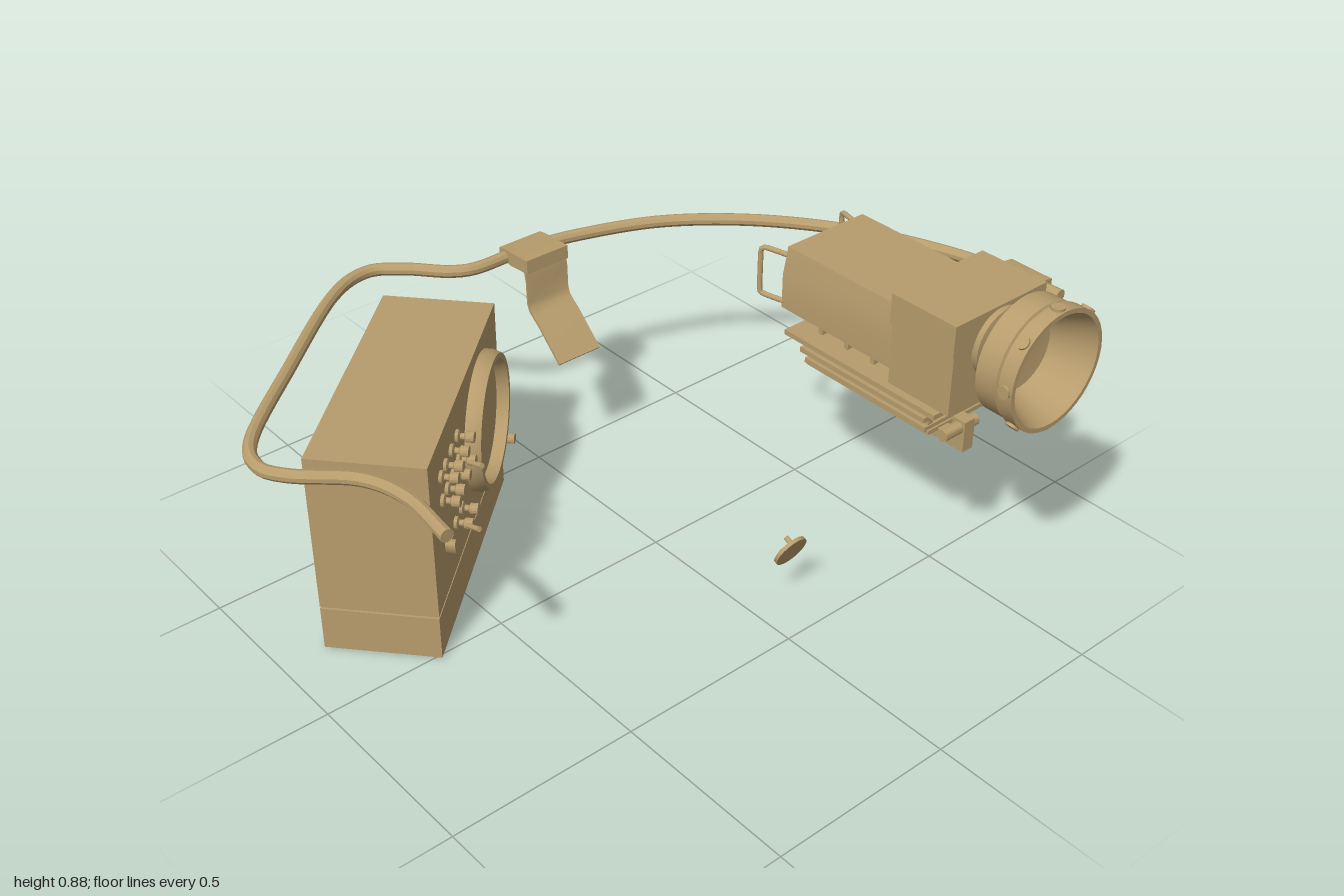
import * as THREE from 'three';
import { toCreasedNormals } from 'three/addons/utils/BufferGeometryUtils.js';

const material = new THREE.MeshStandardMaterial({ color: 0xb89d6d, side: THREE.DoubleSide });

function add(parent, name, geometry, x = 0, y = 0, z = 0) {
  const mesh = new THREE.Mesh(toCreasedNormals(geometry, 0.6), material);
  mesh.name = name;
  mesh.position.set(x, y, z);
  parent.add(mesh);
  return mesh;
}
const box = (w, h, d) => new THREE.BoxGeometry(w, h, d);
// Box given by its limits
const span = (parent, name, x0, x1, y0, y1, z0, z1) =>
  add(parent, name, box(x1 - x0, y1 - y0, z1 - z0), (x0 + x1) / 2, (y0 + y1) / 2, (z0 + z1) / 2);
const latheZ = (pts, sides = 32) =>
  new THREE.LatheGeometry(pts.map(([r, z]) => new THREE.Vector2(r, z)), sides).rotateX(Math.PI / 2);
const tube = (pts, r, n, tension = 0.5) => new THREE.TubeGeometry(
  new THREE.CatmullRomCurve3(pts.map(p => new THREE.Vector3(...p)), false, 'catmullrom', tension), n, r, 10);
const polygon = pts => new THREE.Shape(pts.map(([x, y]) => new THREE.Vector2(x, y)));
const prism = (pts, depth) =>
  new THREE.ExtrudeGeometry(polygon(pts), { depth, bevelEnabled: false });

function createControlBox() {
  const g = new THREE.Group();
  g.name = 'controlBox';
  span(g, 'base', -0.366, 0.366, 0, 0.12, -0.146, 0.146);
  span(g, 'seam', -0.36, 0.36, 0.118, 0.128, -0.14, 0.14);
  span(g, 'housing', -0.366, 0.366, 0.126, 0.56, -0.146, 0.146);

  // Large round dial: raised rim with a recessed face
  add(g, 'dial', latheZ([[0.182, 0], [0.182, 0.018], [0.174, 0.04], [0.16, 0.04], [0.154, 0.008], [0, 0.008]], 40),
    0.15, 0.345, 0.146);

  // Rows of knobs
  const knob = [[0.016, 0], [0.016, 0.008], [0.008, 0.012], [0.008, 0.022], [0.014, 0.026], [0.014, 0.046], [0, 0.048]];
  const columns = [-0.267, -0.22, -0.16, -0.1];
  const spots = [...columns.map(x => [x, 0.468]), ...columns.map(x => [x, 0.4]),
    [-0.165, 0.258], [-0.105, 0.258], [0.325, 0.17]];
  for (const [x, y] of spots) add(g, 'knob', latheZ(knob, 14), x, y, 0.146);

  // Toggle levers and pointer
  for (const [x, y] of [[-0.12, 0.405], [-0.185, 0.265]]) {
    const lever = add(g, 'lever', new THREE.CylinderGeometry(0.007, 0.005, 0.08, 10), x, y, 0.19);
    lever.rotation.set(1.1, 0, 0.7);
  }
  const pointer = add(g, 'pointer', new THREE.CylinderGeometry(0.022, 0.022, 0.025, 16)
    .rotateX(Math.PI / 2).scale(0.7, 1.5, 1), -0.247, 0.247, 0.158);
  pointer.rotation.z = 0.5;

  g.position.set(-0.508, 0, -0.342);
  g.rotation.y = 0.73;
  return g;
}

// Cable strap: a wrap over the cable and a bent tongue hanging from it
function createClip(name) {
  const g = new THREE.Group();
  g.name = name;
  add(g, 'wrap', prism([[0, 0.568], [0, 0.598], [0.02, 0.602], [0.12, 0.606], [0.122, 0.568], [0.05, 0.562]], 0.135));
  const line = [[0.105, 0.572], [0.112, 0.54], [0.114, 0.475], [0.122, 0.455], [0.14, 0.44], [0.16, 0.425], [0.245, 0.345]];
  const outline = [...line, ...line.map(([d, y]) => [d + 0.005, y + 0.006]).reverse()];
  add(g, 'tongue', prism(outline, 0.135));
  return g;
}

function createCamera() {
  const g = new THREE.Group();
  g.name = 'viewingDevice';

  // Rear body with a slightly tapered top, and front housing in two halves
  add(g, 'rearBody', prism([[-0.145, 0.597], [0.145, 0.597], [0.145, 0.69], [0.13, 0.765], [-0.13, 0.765], [-0.145, 0.69]], 0.39),
    0, 0, 0.055);
  span(g, 'frontHousingLower', -0.152, 0.152, 0.562, 0.728, 0.435, 0.628);
  span(g, 'frontHousingUpper', -0.157, 0.157, 0.725, 0.81, 0.43, 0.63);

  // Lens hood
  add(g, 'lens', latheZ([[0.09, 0.6], [0.09, 0.645], [0.152, 0.695], [0.152, 0.754], [0.145, 0.757], [0.145, 0.764],
    [0.157, 0.767], [0.157, 0.806], [0.145, 0.806], [0.1, 0.7], [0, 0.69]], 40), 0, 0.713, 0);
  for (let i = 0; i < 8; i++) {
    const a = i * Math.PI / 4;
    const lug = add(g, 'lensLug', new THREE.CylinderGeometry(0.017, 0.017, 0.016, 12),
      Math.cos(a) * 0.155, 0.713 + Math.sin(a) * 0.155, 0.785);
    lug.rotation.z = a - Math.PI / 2;
  }

  // Rear handles, splayed outwards
  for (const s of [-1, 1]) {
    const x = s * 0.12, o = s * 0.143;
    add(g, 'handle', tube([[x, 0.735, 0.06], [o - s * 0.006, 0.735, -0.012], [o, 0.725, -0.028],
      [o, 0.61, -0.028], [o - s * 0.006, 0.6, -0.012], [x, 0.6, 0.06]], 0.007, 40, 0.2));
  }

  // Stacked mounting plates, stepping in towards the bottom
  const plates = [[0.145, 0.53, 0.07, 0.58], [0.127, 0.49, 0.11, 0.535], [0.108, 0.45, 0.11, 0.525]];
  for (const [w, y, z0, z1] of plates) span(g, 'mountPlate', -w, w, y - 0.007, y + 0.007, z0, z1);
  for (const z of [0.145, 0.235, 0.325, 0.425, 0.515])
    for (const x of [-0.085, 0.085]) span(g, 'mountPost', x - 0.008, x + 0.008, 0.43, 0.565, z - 0.007, z + 0.007);

  // Bottom rail with end block and cross bolt
  span(g, 'rail', -0.065, -0.03, 0.412, 0.44, 0.11, 0.6);
  span(g, 'railFoot', -0.1, 0.1, 0.434, 0.446, 0.11, 0.53);
  span(g, 'endBlock', -0.065, -0.03, 0.412, 0.497, 0.572, 0.612);
  add(g, 'bolt', new THREE.CylinderGeometry(0.016, 0.016, 0.115, 14).rotateZ(Math.PI / 2), -0.065, 0.475, 0.592);

  g.position.x = 0.513;
  return g;
}

function createBracket() {
  const g = new THREE.Group();
  g.name = 'sideBracket';
  add(g, 'wedge', prism([[0.665, 0.442], [0.742, 0.328], [0.84, 0.42], [0.84, 0.442]], 0.125), 0, 0, 0.2);
  span(g, 'shelf', 0.655, 0.862, 0.438, 0.452, 0.185, 0.33);
  add(g, 'post', new THREE.CylinderGeometry(0.043, 0.043, 0.15, 24), 0.742, 0.52, 0.255);
  return g;
}

export function createModel() {
  const model = new THREE.Group();
  model.add(createControlBox(), createCamera(), createBracket());

  // Cable looping around the back, with closed ends
  const path = [[-0.803, 0.26], [-0.79, 0.1], [-0.83, -0.03], [-0.945, -0.145], [-0.98, -0.225], [-0.93, -0.33],
    [-0.72, -0.52], [-0.46, -0.74], [-0.32, -0.797], [-0.23, -0.745], [-0.15, -0.66], [-0.08, -0.627],
    [0.06, -0.625], [0.22, -0.6], [0.45, -0.51], [0.65, -0.35], [0.81, -0.14], [0.91, 0.08], [0.96, 0.28], [0.972, 0.455]];
  add(model, 'cable', tube(path.map(([x, z]) => [x, 0.578, z]), 0.017, 160));
  for (const [x, z] of [path[0], path.at(-1)])
    add(model, 'cableEnd', new THREE.CylinderGeometry(0.017, 0.017, 0.004, 12).rotateX(Math.PI / 2), x, 0.578, z - 0.002);

  const backClip = createClip('backClip');
  backClip.rotation.y = -Math.PI / 2;
  backClip.position.set(0.143, 0, -0.65);
  const sideClip = createClip('sideClip');
  sideClip.rotation.y = Math.PI;
  sideClip.position.set(0.995, 0, 0.405);
  model.add(backClip, sideClip);

  // Small loose cap, tilted, with a nub on its back
  const cap = new THREE.Group();
  cap.name = 'cap';
  add(cap, 'capDisc', new THREE.CylinderGeometry(0.047, 0.047, 0.01, 28));
  add(cap, 'capRidge', box(0.05, 0.01, 0.008), 0, 0.009, 0);
  add(cap, 'capNub', new THREE.CylinderGeometry(0.007, 0.007, 0.024, 10), 0, 0.016, 0.022);
  cap.position.set(0.105, 0.152, 0.388);
  cap.rotation.x = -1.18;
  model.add(cap);

  return model;
}
